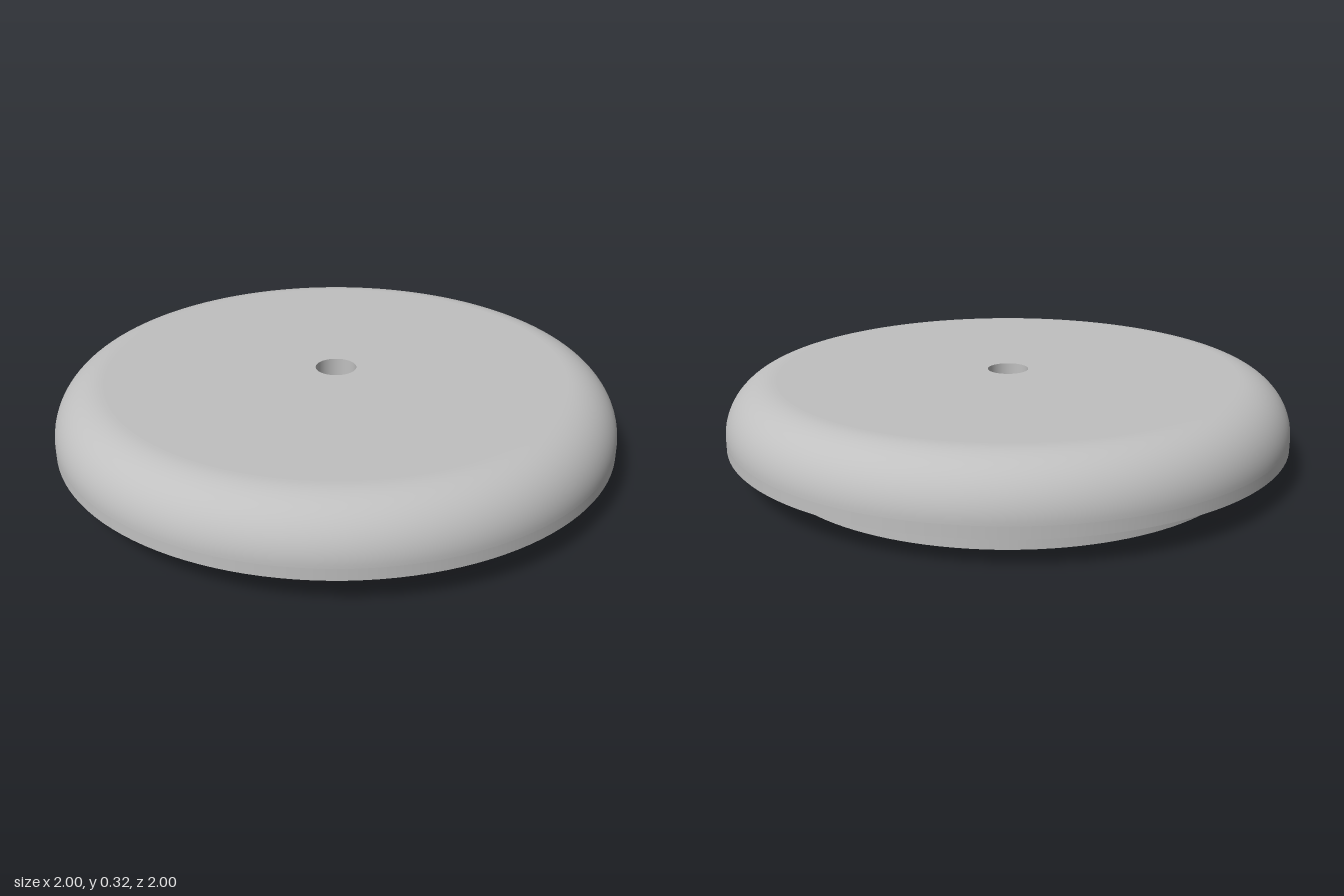
import * as THREE from 'three';
import { mergeGeometries } from 'three/addons/utils/BufferGeometryUtils.js';

const HOLE = 0.073, PLUG = 0.85, RIM = 1, LEDGE = 0.1, TOP = 0.32, FILLET = 0.18;

// Revolves each profile run separately so the corners between runs stay sharp
function revolve(name, runs, material) {
  const parts = runs.map(run =>
    new THREE.LatheGeometry(run.map(([x, y]) => new THREE.Vector2(x, y)), 128));
  const mesh = new THREE.Mesh(mergeGeometries(parts), material);
  mesh.name = name;
  return mesh;
}

export function createModel() {
  const group = new THREE.Group();
  group.name = 'roundedLid';
  const grey = new THREE.MeshStandardMaterial({ color: 0xc0c0c0 });
  grey.name = 'grey';

  // Quarter-round edge, from the rim wall up to the flat top
  const fillet = [];
  for (let i = 0; i <= 24; i++) {
    const a = (i / 24) * Math.PI / 2;
    fillet.push([RIM - FILLET + FILLET * Math.cos(a), TOP - FILLET + FILLET * Math.sin(a)]);
  }

  // Wide cap: underside ledge, rim wall, rounded edge, flat top
  group.add(revolve('cap', [
    [[PLUG, LEDGE], [RIM, LEDGE]],
    [[RIM, LEDGE], [RIM, TOP - FILLET]],
    fillet,
    [[RIM - FILLET, TOP], [HOLE, TOP]],
  ], grey));

  // Narrower plug: flat bottom and side wall
  group.add(revolve('plug', [
    [[HOLE, 0], [PLUG, 0]],
    [[PLUG, 0], [PLUG, LEDGE]],
  ], grey));

  // Through hole wall, facing the axis
  group.add(revolve('centreHole', [[[HOLE, TOP], [HOLE, 0]]], grey));

  return group;
}
